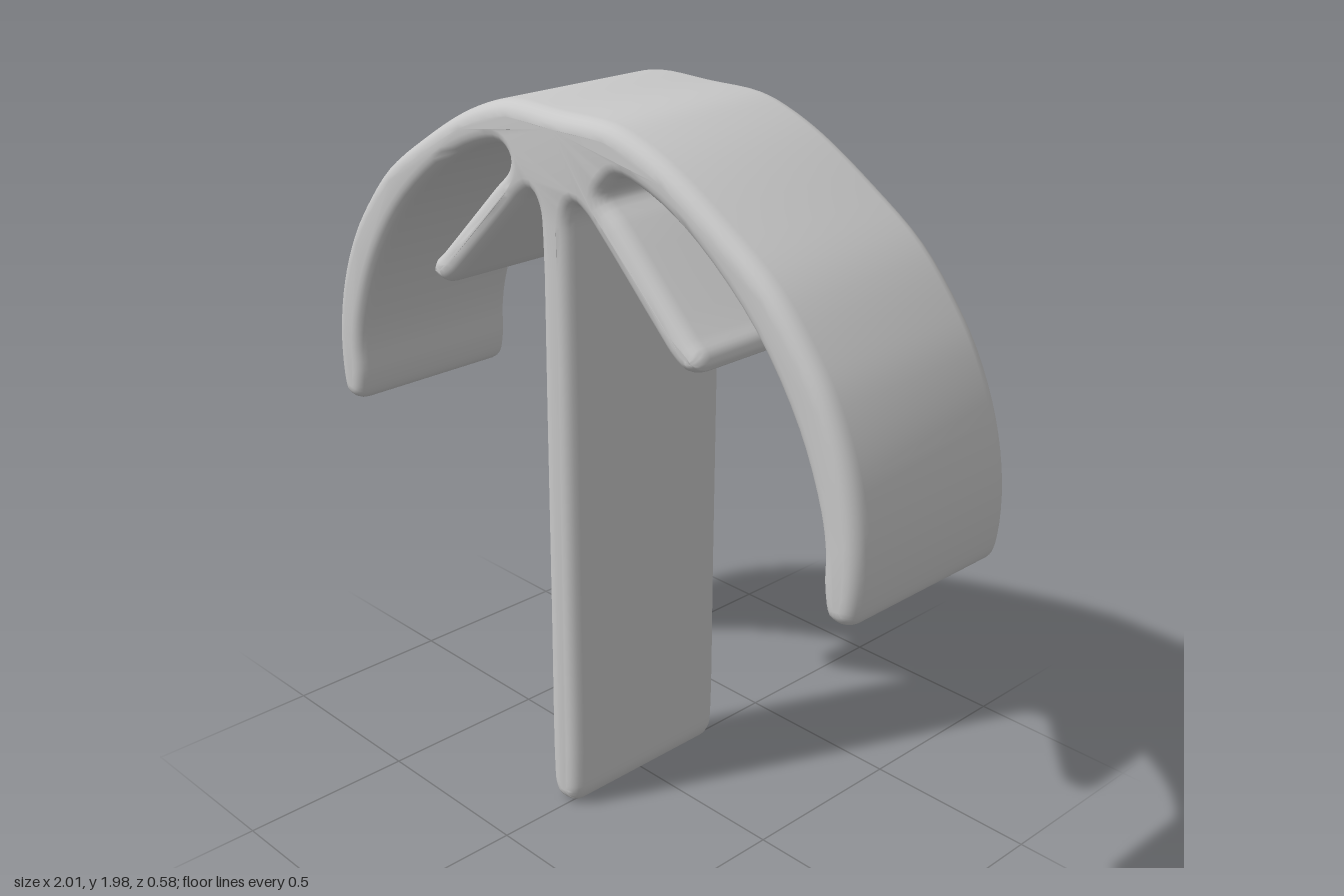
import * as THREE from 'three';
import { toCreasedNormals } from 'three/addons/utils/BufferGeometryUtils.js';

const AXIS = -0.015; // post and struts sit slightly off the arch's centre
const HALF_DEPTH = 0.28;
const BEVEL = 0.045;

// Half outlines, left side (-x)
const archHalf = [
  [-0.18, 1.99], [-0.275, 1.967], [-0.39, 1.92], [-0.555, 1.825], [-0.715, 1.715],
  [-0.835, 1.583], [-0.9, 1.487], [-0.965, 1.34], [-1, 1.18], [-1, 1.04],
  [-0.985, 0.985], [-0.95, 0.968], [-0.91, 0.98], [-0.89, 1.05], [-0.887, 1.14],
  [-0.868, 1.235], [-0.795, 1.41], [-0.66, 1.6], [-0.475, 1.76], [-0.315, 1.845],
  [-0.215, 1.867], [-0.185, 1.845],
];
const strutHalf = [ // offsets from AXIS
  [-0.18, 1.812], [-0.24, 1.755], [-0.47, 1.53], [-0.507, 1.495], [-0.509, 1.46],
  [-0.46, 1.443], [-0.415, 1.465], [-0.36, 1.515], [-0.16, 1.71], [-0.118, 1.75],
  [-0.083, 1.768], [-0.063, 1.74],
];
const postHalf = [
  [-0.0575, 1.66], [-0.0575, 1.2], [-0.0575, 0.6], [-0.0575, 0.1], [-0.052, 0.05],
  [-0.032, 0.018], [0, 0.01],
];

function outline() {
  const shift = (list) => list.map(([x, y]) => [x + AXIS, y]);
  const flip = (list, axis) => list.map(([x, y]) => [2 * axis - x, y]).reverse();
  const stem = shift([...strutHalf, ...postHalf]);
  const points = [
    ...archHalf, ...stem,
    ...flip(stem.slice(0, -1), AXIS), ...flip(archHalf, 0), [0, 1.99],
  ];
  const curve = new THREE.CatmullRomCurve3(
    points.map(([x, y]) => new THREE.Vector3(x, y, 0)), true, 'centripetal');
  const steps = points.length * 4;
  const smooth = [];
  for (let i = 0; i < steps; i++) {
    const p = curve.getPoint(i / steps);
    smooth.push(new THREE.Vector2(p.x, p.y));
  }
  return new THREE.Shape(smooth);
}

export function createModel() {
  const group = new THREE.Group();
  group.name = 'archedStand';
  const grey = new THREE.MeshStandardMaterial({ color: 0xc8c8c8 });
  grey.name = 'light grey';

  // Arch, struts and post blended into one soft-edged strip
  let geometry = new THREE.ExtrudeGeometry(outline(), {
    depth: 2 * (HALF_DEPTH - BEVEL), steps: 1, bevelEnabled: true,
    bevelThickness: BEVEL, bevelSize: 0.04, bevelOffset: -0.04, bevelSegments: 5,
  });
  geometry.translate(0, 0, -(HALF_DEPTH - BEVEL));

  // Slight swelling in depth where the members meet
  const pos = geometry.attributes.position;
  for (let i = 0; i < pos.count; i++) {
    const dx = pos.getX(i) / 0.2;
    const dy = (pos.getY(i) - 1.88) / 0.14;
    pos.setZ(i, pos.getZ(i) * (1 + 0.04 * Math.exp(-dx * dx - dy * dy)));
  }
  geometry = toCreasedNormals(geometry, 0.9);

  const body = new THREE.Mesh(geometry, grey);
  body.name = 'archStrutsAndPost';
  group.add(body);
  return group;
}
